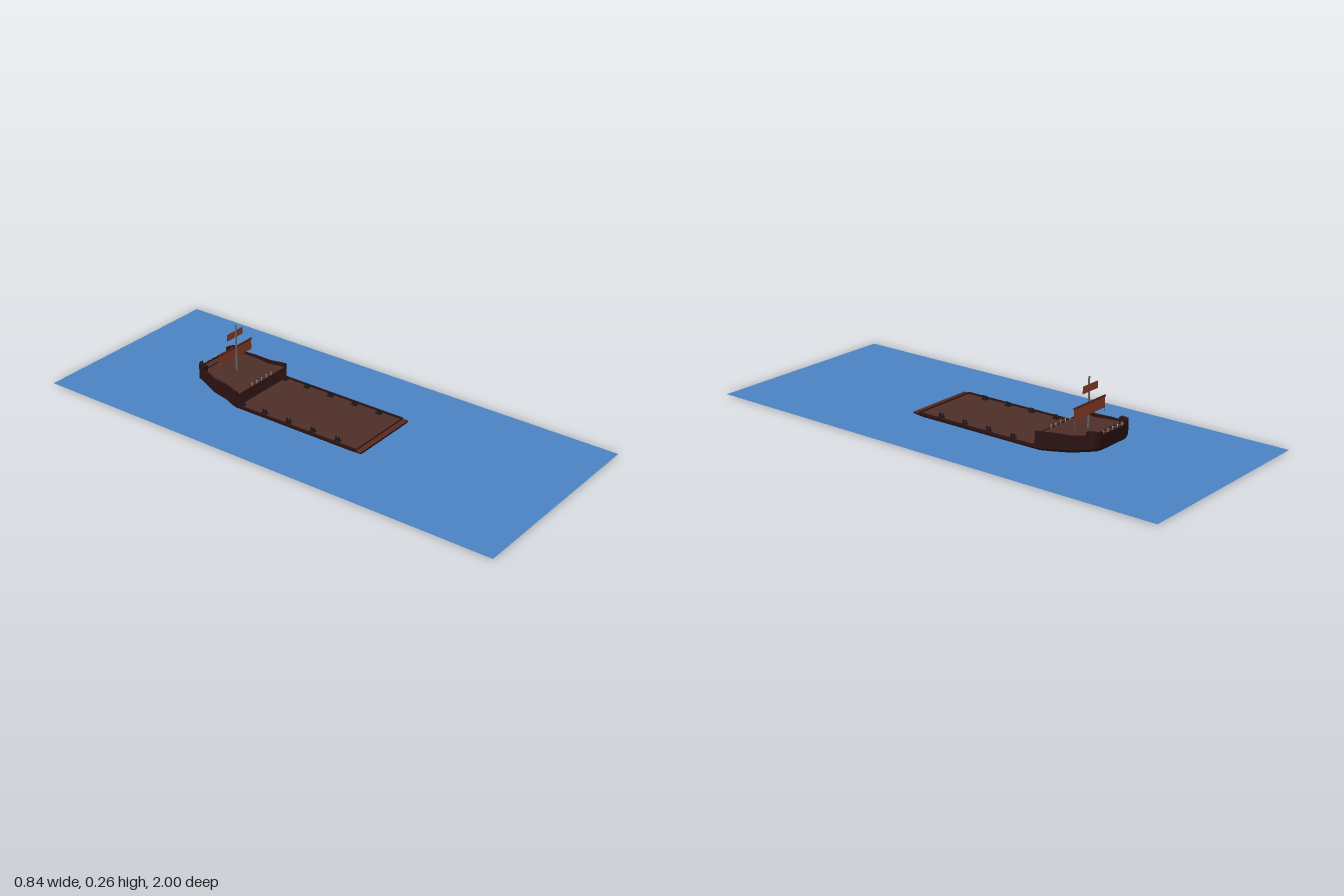
import * as THREE from 'three';

const mat = (color, extra = {}) => new THREE.MeshStandardMaterial({ color, flatShading: true, ...extra });

// Closed solid through convex rings [[x, y], ...], counter-clockwise from +z, with z falling.
function loft(stations) {
  const pos = [], n = stations[0].ring.length;
  const idx = [];
  stations.forEach(s => s.ring.forEach(([x, y]) => pos.push(x, y, s.z)));
  for (let s = 0; s < stations.length - 1; s++) {
    for (let i = 0; i < n; i++) {
      const j = (i + 1) % n, a = s * n + i, b = s * n + j, c = b + n, d = a + n;
      idx.push(a, d, b, b, d, c);
    }
  }
  const e = (stations.length - 1) * n;
  for (let i = 1; i < n - 1; i++) idx.push(0, i, i + 1, e, e + i + 1, e + i);
  const g = new THREE.BufferGeometry();
  g.setAttribute('position', new THREE.Float32BufferAttribute(pos, 3));
  g.setIndex(idx);
  const flat = g.toNonIndexed();
  flat.computeVertexNormals();
  return flat;
}

// Chamfered hull section: bottom half width, half width, bottom, chamfer and top heights.
const hullRing = (wb, w, yb, yc, yt) => [[-wb, yb], [wb, yb], [w, yc], [w, yt], [-w, yt], [-w, yc]];
const boxRing = (x0, x1, y0, y1) => [[x0, y0], [x1, y0], [x1, y1], [x0, y1]];

export function createModel() {
  const model = new THREE.Group();
  const dark = mat(0x2a1210), wood = mat(0x4e2f28), wall = mat(0x3d1c1c), ramp = mat(0x5a281f);
  const sailMat = mat(0x94432c, { side: THREE.DoubleSide });
  const iron = mat(0x1c1a18), pale = mat(0x8f9a8c), grey = mat(0x666666);
  const ship = new THREE.Group();
  ship.name = 'ship';
  ship.position.x = -0.003;
  model.add(ship);

  const add = (name, geometry, material, x = 0, y = 0, z = 0, parent = ship) => {
    const m = new THREE.Mesh(geometry, material);
    m.name = name;
    m.position.set(x, y, z);
    parent.add(m);
    return m;
  };
  const box = (name, w, h, d, material, x, y, z, parent) =>
    add(name, new THREE.BoxGeometry(w, h, d), material, x, y, z, parent);

  // Water sheet
  const water = add('water', new THREE.PlaneGeometry(0.84, 2), mat(0x4a83c4, { side: THREE.DoubleSide }), 0, 0.003, 0, model);
  water.rotation.x = -Math.PI / 2;

  // Flat barge with a raked stern
  add('bargeHull', loft([
    { z: 0.275, ring: hullRing(0.140, 0.149, 0.010, 0.012, 0.015) },
    { z: 0.228, ring: hullRing(0.135, 0.150, 0, 0.012, 0.015) },
    { z: -0.31, ring: hullRing(0.135, 0.150, 0, 0.012, 0.015) },
  ]), dark);
  box('mainDeck', 0.282, 0.002, 0.55, wood, 0, 0.0155, -0.025);
  box('sternRamp', 0.296, 0.004, 0.022, ramp, 0, 0.016, 0.264);
  box('sternSill', 0.296, 0.006, 0.005, dark, 0, 0.017, 0.251);
  for (const s of [-1, 1]) box('sideRail', 0.009, 0.008, 0.55, dark, s * 0.1455, 0.017, -0.025);

  // Raised bow: z, half width, bottom, deck and rail heights
  const bow = [
    [-0.300, 0.150, 0.000, 0.060, 0.075],
    [-0.320, 0.147, 0.000, 0.061, 0.075],
    [-0.365, 0.132, 0.004, 0.064, 0.077],
    [-0.430, 0.128, 0.014, 0.072, 0.081],
    [-0.490, 0.110, 0.026, 0.083, 0.089],
    [-0.525, 0.102, 0.034, 0.088, 0.092],
    [-0.535, 0.086, 0.038, 0.088, 0.092],
  ];
  add('bowHull', loft(bow.map(([z, w, yb, yd]) =>
    ({ z, ring: hullRing(w - 0.015, w, yb, yb + 0.012, yd) }))), dark);
  add('bowDeck', loft(bow.slice(0, 6).map(([z, w, , yd]) =>
    ({ z, ring: boxRing(-w + 0.008, w - 0.008, yd - 0.002, yd + 0.001) }))), wood);
  for (const s of [-1, 1]) {
    const strip = (rows, t) => loft(rows.map(([z, w, , yd, yr]) => ({
      z, ring: boxRing(Math.min(s * w, s * (w - t)), Math.max(s * w, s * (w - t)), yd - 0.004, yr),
    })));
    add('bowBulwark', strip(bow, 0.009), dark);
    // Tall cheek at the stem
    add('bowCheek', strip([
      [-0.492, 0.110, 0, 0.083, 0.104],
      [-0.525, 0.103, 0, 0.088, 0.105],
      [-0.535, 0.087, 0, 0.088, 0.105],
    ], 0.020), dark);
  }
  box('stemRail', 0.16, 0.005, 0.007, dark, 0, 0.089, -0.530);
  box('deckStep', 0.19, 0.003, 0.004, dark, 0, 0.086, -0.502);

  // Bulkhead facing the barge, with door seams and hinges
  box('bulkhead', 0.296, 0.044, 0.004, wall, 0, 0.038, -0.299);
  box('bulkheadSill', 0.296, 0.003, 0.007, dark, 0, 0.0605, -0.299);
  for (const s of [-1, 1]) {
    box('doorSeam', 0.002, 0.038, 0.002, dark, s * 0.066, 0.038, -0.2965);
    for (const x of [0.055, 0.078, 0.125])
      box('hinge', 0.010, 0.004, 0.004, iron, s * x, 0.025, -0.296);
  }

  // Knobbed railing posts
  const post = (x, y, z) => {
    const g = new THREE.Group();
    g.name = 'railingPost';
    add('postShaft', new THREE.CylinderGeometry(0.0014, 0.002, 0.012, 6), pale, 0, 0.006, 0, g);
    add('postKnob', new THREE.SphereGeometry(0.003, 8, 6), pale, 0, 0.012, 0, g);
    g.position.set(x, y, z);
    ship.add(g);
  };
  for (let i = 0; i < 6; i++) post(-0.083 + i * 0.0285, 0.0905, -0.530);
  for (let i = 0; i < 5; i++) post(-0.053 + i * 0.0285, 0.060, -0.304);

  // Mooring bollards along both sides
  for (const s of [-1, 1]) {
    for (const z of [-0.29, -0.183, -0.07, 0.043, 0.156]) {
      const g = new THREE.Group();
      g.name = 'bollard';
      box('bollardBase', 0.018, 0.004, 0.022, iron, 0, 0.002, 0, g);
      for (const d of [-1, 1])
        add('bollardPost', new THREE.CylinderGeometry(0.004, 0.003, 0.014, 8), iron, 0, 0.009, d * 0.006, g);
      g.position.set(s * 0.128, 0.016, z);
      ship.add(g);
    }
  }

  // Mast, yards and sails
  const rig = new THREE.Group();
  rig.name = 'rig';
  rig.position.set(-0.004, 0, -0.42);
  ship.add(rig);
  add('mast', new THREE.CylinderGeometry(0.0035, 0.004, 0.198, 10), grey, 0, 0.166, 0, rig);
  box('lowerSail', 0.187, 0.044, 0.001, sailMat, 0.001, 0.146, -0.005, rig);
  box('lowerYard', 0.191, 0.006, 0.005, ramp, 0.001, 0.169, -0.005, rig);
  box('upperSail', 0.090, 0.028, 0.001, sailMat, -0.001, 0.224, -0.005, rig);
  for (const s of [-1, 1])
    box('sheetRope', 0.0006, 0.05, 0.0006, grey, s * 0.092, 0.102, -0.005, rig);

  return model;
}
